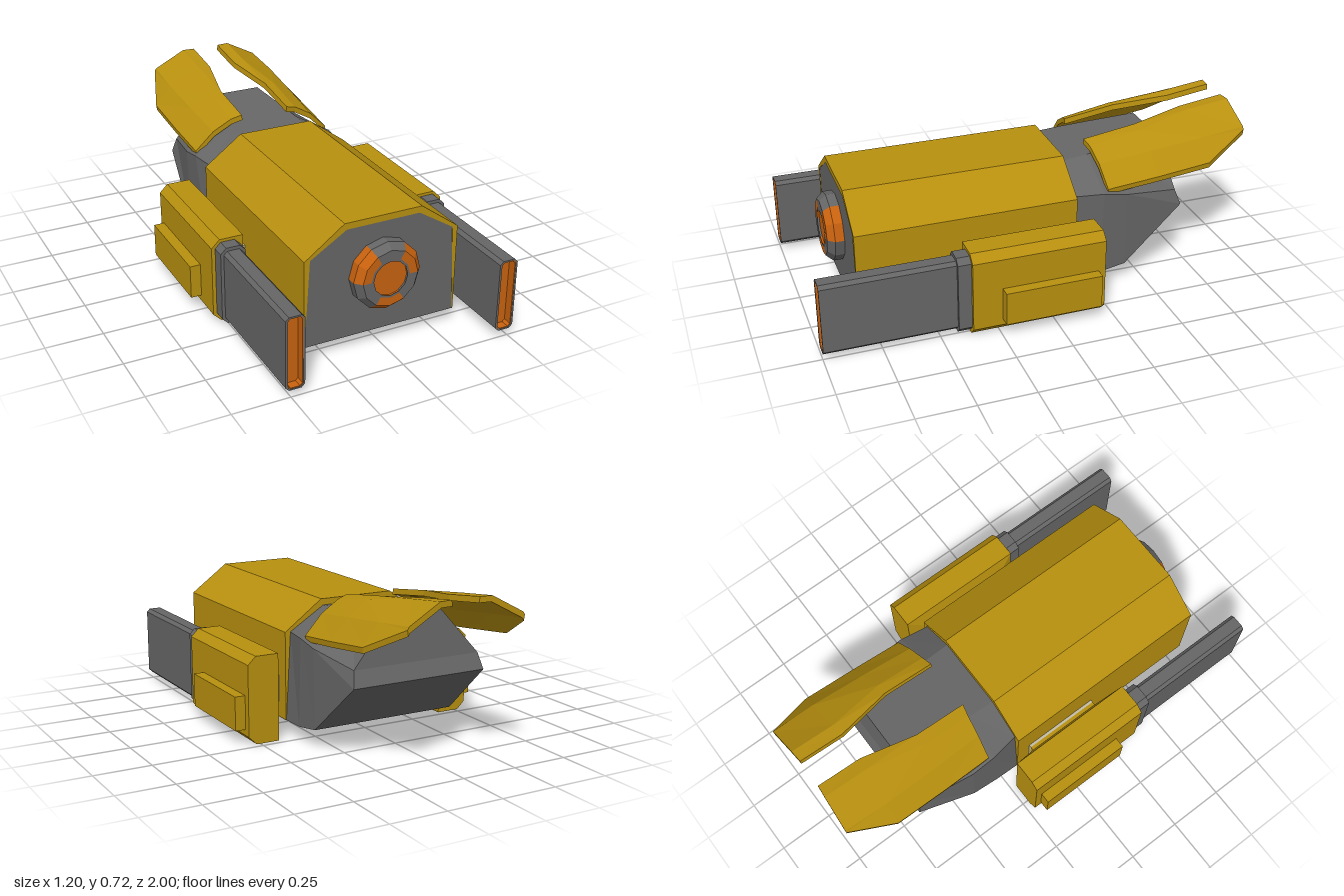
import * as THREE from 'three';

const mat = (color) => new THREE.MeshStandardMaterial({ color, flatShading: true });
const GREY = mat(0x666666), YELLOW = mat(0xb8900f), ORANGE = mat(0xc8620f), PALE = mat(0xc4bda6);

function add(parent, name, geometry, material) {
  const mesh = new THREE.Mesh(geometry, material);
  mesh.name = name;
  parent.add(mesh);
  return mesh;
}

// Skin a series of even-sided rings; caps are zipped across so thin bands work too.
function loft(rings) {
  const pos = [];
  const n = rings[0].length;
  const quad = (a, b, c, d) => pos.push(...a, ...b, ...c, ...a, ...c, ...d);
  for (let r = 0; r < rings.length - 1; r++) {
    for (let i = 0; i < n; i++) {
      const j = (i + 1) % n;
      quad(rings[r][i], rings[r][j], rings[r + 1][j], rings[r + 1][i]);
    }
  }
  const first = rings[0], last = rings[rings.length - 1];
  for (let i = 0; i < n / 2 - 1; i++) {
    const j = n - 1 - i;
    quad(first[j], first[j - 1], first[i + 1], first[i]);
    quad(last[i], last[i + 1], last[j - 1], last[j]);
  }
  const g = new THREE.BufferGeometry();
  g.setAttribute('position', new THREE.Float32BufferAttribute(pos, 3));
  g.computeVertexNormals();
  return g;
}

function extrude(shape, z0, z1) {
  return new THREE.ExtrudeGeometry(shape, { depth: z1 - z0, bevelEnabled: false }).translate(0, 0, z0);
}

const shapeOf = (pts) => new THREE.Shape(pts.map(([x, y]) => new THREE.Vector2(x, y)));

// Rectangle with all four corners cut at 45 degrees
function cutRect(cx, cy, w, h, c) {
  const x = w / 2, y = h / 2;
  return shapeOf([[x, c - y], [x, y - c], [x - c, y], [c - x, y], [-x, y - c], [-x, c - y], [c - x, -y], [x - c, -y]]
    .map(([a, b]) => [cx + a, cy + b]));
}

function box(x0, x1, y0, y1, z0, z1) {
  return new THREE.BoxGeometry(x1 - x0, y1 - y0, z1 - z0)
    .translate((x0 + x1) / 2, (y0 + y1) / 2, (z0 + z1) / 2);
}

function createBody(root) {
  // Six-sided hull: each ring lists bottom, side and top corners of the left half
  const halves = [
    [[0.315, 0.33, -0.685], [0.3, 0.4, -0.66], [0.125, 0.6, -0.64]],
    [[0.34, 0.09, -0.41], [0.345, 0.44, -0.41], [0.15, 0.58, -0.41]],
    [[0.345, 0.07, -0.28], [0.345, 0.46, -0.3], [0.16, 0.57, -0.29]],
    [[0.348, 0.07, -0.17], [0.325, 0.46, -0.17], [0.165, 0.56, -0.17]],
    [[0.348, 0.07, 0.81], [0.325, 0.46, 0.81], [0.165, 0.56, 0.81]],
  ];
  const rings = halves.map((h) => [...h, ...[...h].reverse().map(([x, y, z]) => [-x, y, z])]);
  add(root, 'hull', loft(rings), GREY);

  // Armour shell wrapped over the top and sides
  const outer = [[0.35, 0.07], [0.35, 0.46], [0.175, 0.588]];
  const inner = [[0.165, 0.56], [0.325, 0.46], [0.347, 0.07]];
  const flip = (pts) => [...pts].reverse().map(([x, y]) => [-x, y]);
  add(root, 'armourShell', extrude(shapeOf([...outer, ...flip(outer), ...flip(inner), ...inner]), -0.17, 0.811), YELLOW);
}

function createNose(root) {
  const nose = new THREE.Group();
  nose.name = 'noseLamp';
  nose.position.set(0, 0.337, 0);
  root.add(nose);
  const profile = [[0.152, 0.8], [0.152, 0.85], [0.125, 0.88], [0.085, 0.88], [0.077, 0.87]]
    .map(([r, z]) => new THREE.Vector2(r, z));
  // Six sectors alternating orange and grey
  for (let k = 0; k < 6; k++) {
    const g = new THREE.LatheGeometry(profile, 2, Math.PI / 2 + k * Math.PI / 3, Math.PI / 3).rotateX(Math.PI / 2);
    add(nose, 'noseSector', g, k % 2 ? GREY : ORANGE);
  }
  add(nose, 'noseRim', new THREE.RingGeometry(0.077, 0.088, 12).translate(0, 0, 0.881), GREY);
  add(nose, 'noseCentre', new THREE.CircleGeometry(0.078, 12).translate(0, 0, 0.872), ORANGE);
}

// Folded rear fin: four points across, thickened downwards
function createFin(side) {
  const rows = [
    [[0.272, 0.63, -1], [0.265, 0.642, -1], [0.12, 0.72, -0.99], [0.065, 0.72, -0.985]],
    [[0.345, 0.53, -0.8], [0.27, 0.62, -0.8], [0.12, 0.695, -0.79], [0.065, 0.692, -0.78]],
    [[0.342, 0.5, -0.55], [0.262, 0.59, -0.55], [0.165, 0.65, -0.53], [0.115, 0.66, -0.53]],
    [[0.335, 0.475, -0.32], [0.25, 0.56, -0.31], [0.165, 0.61, -0.3], [0.115, 0.625, -0.29]],
  ];
  const rings = rows.map((row) => [...row, ...[...row].reverse().map(([x, y, z]) => [x - 0.004, y - 0.025, z])]);
  add(side, 'rearFin', loft(rings), YELLOW);
}

function createPod(side) {
  const cx = 0.481, cy = 0.197;
  // Mount between hull and pod
  add(side, 'podMount', box(0.32, 0.362, 0.13, 0.265, -0.105, 0.25), PALE);
  const ring = (x, y0, y1, z0, z1) => [[x, y0, z0], [x, y1, z0], [x, y1, z1], [x, y0, z1]];
  add(side, 'podBracket', loft([
    ring(0.36, 0.13, 0.265, -0.105, 0.25),
    ring(0.378, 0.13, 0.265, -0.105, 0.25),
    ring(0.411, 0.003, 0.388, -0.222, 0.37),
  ]), YELLOW);

  // Housing with cut outer corners, and its side plate
  add(side, 'podHousing', extrude(shapeOf([
    [0.411, 0.003], [0.517, 0.003], [0.553, 0.038], [0.553, 0.353], [0.517, 0.388], [0.411, 0.388],
  ]), -0.222, 0.37), YELLOW);
  add(side, 'podSidePlate', box(0.54, 0.6, 0.065, 0.215, -0.19, 0.24), YELLOW);

  // Collar and hollow barrel
  add(side, 'barrelCollar', extrude(cutRect(cx, cy, 0.112, 0.356, 0.025), 0.36, 0.428), GREY);
  const barrel = cutRect(cx, cy, 0.084, 0.326, 0.015);
  barrel.holes.push(cutRect(cx, cy, 0.068, 0.314, 0.012));
  add(side, 'barrel', extrude(barrel, 0.42, 1), GREY);

  // Glowing recess in the muzzle
  const lining = cutRect(cx, cy, 0.068, 0.314, 0.012);
  lining.holes.push(cutRect(cx, cy, 0.062, 0.308, 0.011));
  add(side, 'muzzleLining', extrude(lining, 0.94, 0.998), ORANGE);
  add(side, 'muzzleGlow', extrude(cutRect(cx, cy, 0.066, 0.312, 0.012), 0.93, 0.96), ORANGE);
}

export function createModel() {
  const root = new THREE.Group();
  root.name = 'craft';
  createBody(root);
  createNose(root);
  for (const s of [1, -1]) {
    const side = new THREE.Group();
    side.name = s > 0 ? 'leftSide' : 'rightSide';
    createFin(side);
    createPod(side);
    side.scale.x = s;
    root.add(side);
  }
  return root;
}
